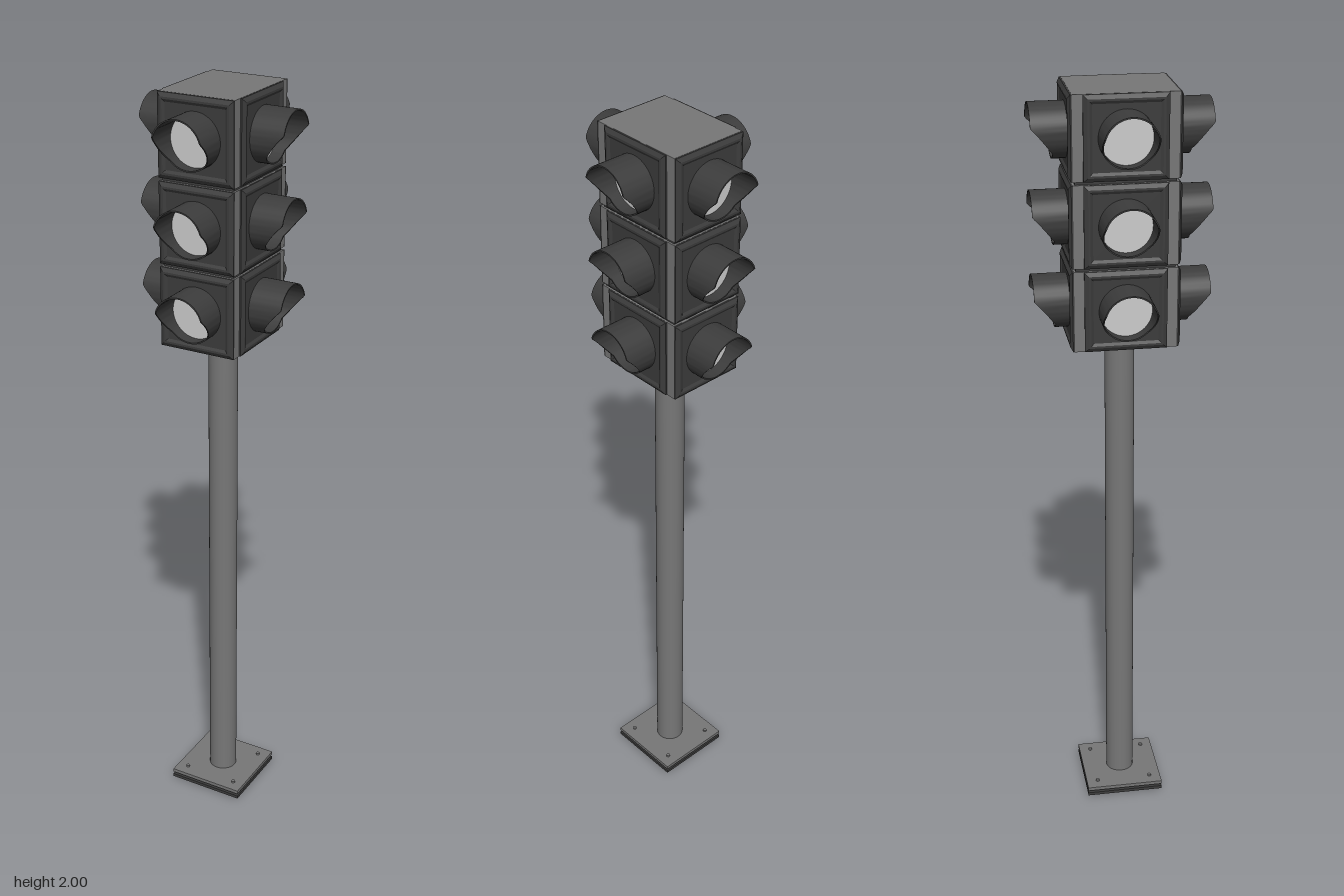
import * as THREE from 'three';
import { toCreasedNormals } from 'three/addons/utils/BufferGeometryUtils.js';

const grey = new THREE.MeshStandardMaterial({ color: 0x777777 });
const dark = new THREE.MeshStandardMaterial({ color: 0x3c3c3c });
const glass = new THREE.MeshStandardMaterial({ color: 0xcccccc });

function add(parent, name, geometry, material, x = 0, y = 0, z = 0) {
  const mesh = new THREE.Mesh(geometry, material);
  mesh.name = name;
  mesh.position.set(x, y, z);
  parent.add(mesh);
  return mesh;
}

function square(h, Type = THREE.Shape) {
  const s = new Type();
  s.moveTo(-h, -h);
  s.lineTo(h, -h);
  s.lineTo(h, h);
  s.lineTo(-h, h);
  s.closePath();
  return s;
}

// Bevelled square door frame around a recessed panel
function doorFrameGeometry() {
  const shape = square(0.093);
  shape.holes.push(square(0.088, THREE.Path));
  return new THREE.ExtrudeGeometry(shape, {
    depth: 0.004, bevelThickness: 0.006, bevelSize: 0.01, bevelSegments: 1,
  }).translate(0, 0, 0);
}

// Thin tube along +z, long at the top and cut back towards the bottom
function visorGeometry() {
  const ro = 0.068, ri = 0.0645, long = 0.094, short = 0.04;
  const profile = [[ri, 0], [ro, 0], [ro, long], [ri, long], [ri, 0]]
    .map(([x, y]) => new THREE.Vector2(x, y));
  const g = new THREE.LatheGeometry(profile, 64).rotateX(Math.PI / 2);
  const p = g.attributes.position;
  for (let i = 0; i < p.count; i++) {
    if (p.getZ(i) < long / 2) continue;
    const h = p.getY(i) / Math.hypot(p.getX(i), p.getY(i));
    const t = THREE.MathUtils.clamp((0.25 - h) / 0.95, 0, 1);
    p.setZ(i, THREE.MathUtils.lerp(long, short, Math.pow(t, 0.85)));
  }
  return toCreasedNormals(g, 0.6);
}

const frameGeo = doorFrameGeometry();
const panelGeo = new THREE.BoxGeometry(0.19, 0.19, 0.006);
const visorGeo = visorGeometry();
const lensGeo = new THREE.CircleGeometry(0.065, 48);

// One signal face, with its back on the plane z = 0
function signalFace() {
  const face = new THREE.Group();
  face.name = 'signalFace';
  add(face, 'doorFrame', frameGeo, dark);
  add(face, 'doorPanel', panelGeo, dark, 0, 0, 0.003);
  add(face, 'lens', lensGeo, glass, 0, 0, 0.009);
  add(face, 'visor', visorGeo, dark);
  return face;
}

export function createModel() {
  const model = new THREE.Group();
  model.name = 'trafficLight';

  // Base plates and anchor bolts
  add(model, 'lowerBasePlate', new THREE.BoxGeometry(0.212, 0.009, 0.212), dark, 0, 0.0085, 0);
  add(model, 'upperBasePlate', new THREE.BoxGeometry(0.212, 0.01, 0.212), grey, 0, 0.025, 0);
  const boltGeo = new THREE.CylinderGeometry(0.005, 0.005, 0.035, 12);
  for (const x of [-0.075, 0.075]) {
    for (const z of [-0.075, 0.075]) add(model, 'anchorBolt', boltGeo, grey, x, 0.0175, z);
  }

  // Pole
  add(model, 'pole', new THREE.CylinderGeometry(0.038, 0.038, 1.37, 40), grey, 0, 0.688, 0);

  // Housing core, seen only in the seams between sections
  add(model, 'housingCore', new THREE.BoxGeometry(0.196, 0.62, 0.246), dark, 0, 1.682, 0);

  // Three stacked sections with a face on every side
  const sectionGeo = new THREE.BoxGeometry(0.206, 0.207, 0.256);
  for (let i = 0; i < 3; i++) {
    const section = new THREE.Group();
    section.name = 'signalSection';
    section.position.y = 1.8965 - i * 0.2145;
    add(section, 'housing', sectionGeo, grey);
    for (let k = 0; k < 4; k++) {
      const face = signalFace();
      const angle = k * Math.PI / 2;
      const reach = k % 2 ? 0.103 : 0.128;
      face.rotation.y = angle;
      face.position.set(Math.sin(angle) * reach, 0, Math.cos(angle) * reach);
      section.add(face);
    }
    model.add(section);
  }
  return model;
}
